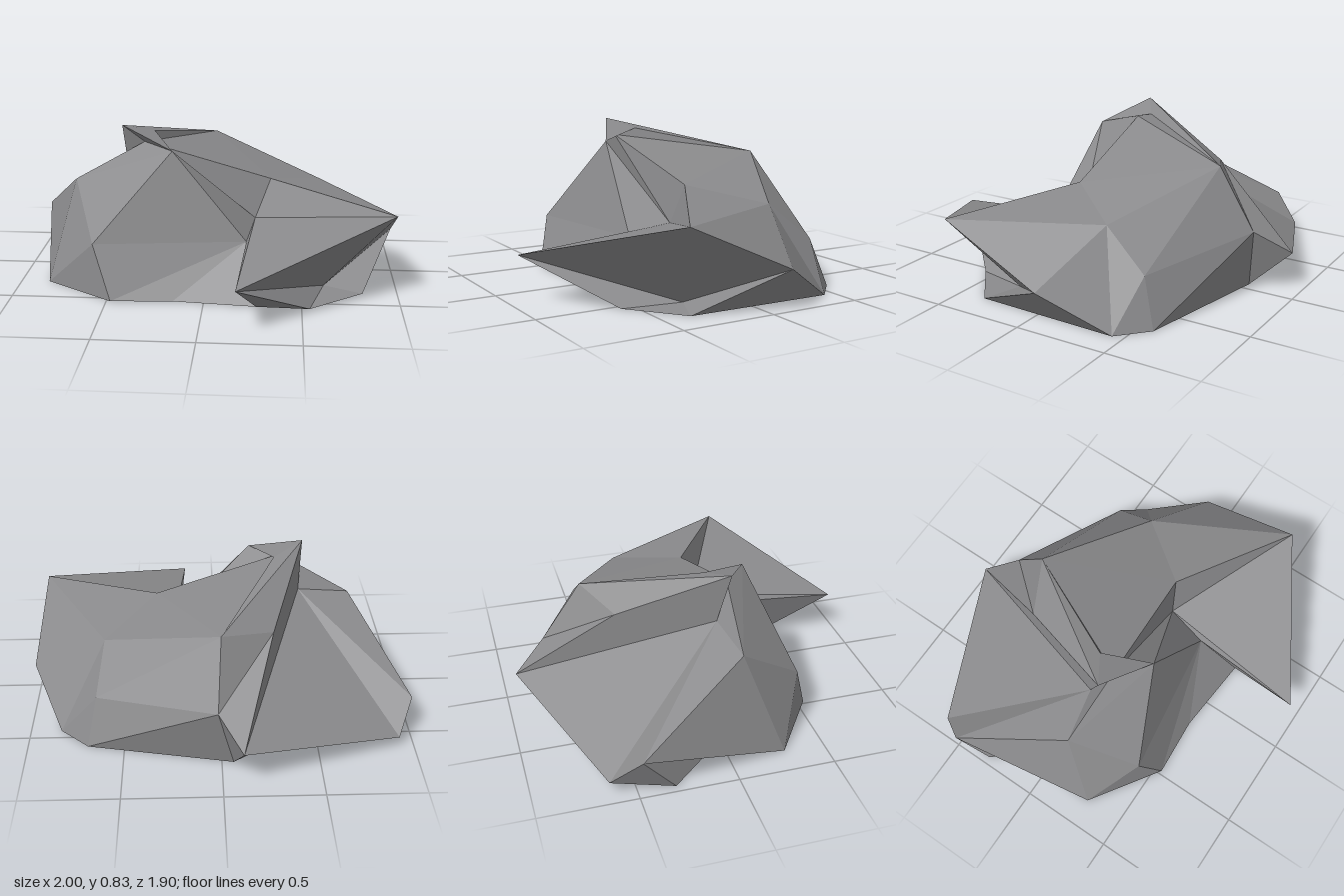
import * as THREE from 'three';

// Corner points of the boulder, by region
const P = {
  // peak and overhanging flap
  tip: [-0.46, 0.83, 0.12], flapBack: [-0.3, 0.78, 0.02], flapFront: [-0.18, 0.73, 0.27],
  neck: [-0.34, 0.745, 0.13], gully: [-0.44, 0.57, 0.05], ledge: [-0.27, 0.59, -0.44],
  // upper slopes
  crest: [0, 0.645, -0.57], saddle: [0.33, 0.54, 0.08], hip: [0.6, 0.45, -0.26],
  shoulder: [-0.72, 0.525, 0.1], notch: [0.25, 0.33, 0.12], inner: [0.21, 0.27, 0.34],
  // widest points
  back: [-0.1, 0.21, -0.95], backStep: [0.02, 0.33, -0.78], heel: [0.64, 0.25, -0.5],
  side: [1, 0.205, -0.11], wing: [0.97, 0.46, 0.45], prow: [0.18, 0.24, 0.95],
  undercut: [0.62, 0.01, 0.27], cheek: [-0.58, 0.275, 0.45],
  flank: [-1, 0.205, -0.48], corner: [-0.92, 0.06, -0.63],
  // footprint
  f1: [0.54, 0, 0.57], f2: [0.27, 0, 0.56], f3: [-0.16, 0, 0.52], f4: [-0.48, 0, 0.54],
  f5: [-0.85, 0, 0.29], f6: [-0.57, 0, 0.12], f7: [-0.96, 0, -0.31], f8: [-0.4, 0, -0.49],
  f9: [-0.06, 0, -0.73], f10: [0.69, 0, -0.58], f11: [0.84, 0, -0.44], f12: [0.82, 0, 0.35],
};

// Builds facets as triangle fans: each entry is a hub and the ring of corners around it
function facets(name, fans, material) {
  const pos = [];
  for (const [hub, ring] of Object.entries(fans)) {
    const r = ring.split(' ');
    for (let i = 0; i + 1 < r.length; i++) pos.push(...P[hub], ...P[r[i]], ...P[r[i + 1]]);
  }
  const geo = new THREE.BufferGeometry();
  geo.setAttribute('position', new THREE.Float32BufferAttribute(pos, 3));
  geo.computeVertexNormals();
  const mesh = new THREE.Mesh(geo, material);
  mesh.name = name;
  return mesh;
}

export function createModel() {
  const group = new THREE.Group();
  group.name = 'boulder';
  const stone = new THREE.MeshStandardMaterial({
    color: 0x8a8a8c, flatShading: true, side: THREE.DoubleSide,
  });
  stone.name = 'grey stone';

  // Top slopes around the hip and the crest
  group.add(facets('upperSlopes', {
    hip: 'wing side f11 heel crest saddle wing',
    crest: 'heel backStep ledge tip flapBack neck saddle',
    saddle: 'neck notch',
  }, stone));

  // Pointed flap and the front face below it
  group.add(facets('peakAndFront', {
    flapFront: 'flapBack tip neck shoulder cheek inner notch neck flapBack',
    inner: 'cheek f4 f3 f2',
    cheek: 'shoulder f5 f4',
  }, stone));

  // Broad sloping slab at the back, with its gully
  group.add(facets('backSlab', {
    gully: 'tip ledge back corner flank shoulder neck tip',
    ledge: 'backStep back',
  }, stone));

  // Jutting wing with its undercut
  group.add(facets('frontWing', {
    wing: 'saddle notch prow undercut side',
    side: 'undercut f12 f11',
    undercut: 'prow f1 f12',
    prow: 'notch inner f2 f1',
  }, stone));

  // Lower walls and overhangs
  group.add(facets('lowerWalls', {
    flank: 'corner f7 f6 f5 shoulder',
    corner: 'back f8 f7',
    back: 'backStep f9 f8',
    backStep: 'heel f10 f9',
    heel: 'f11 f10',
  }, stone));

  // Flat underside
  const outline = [];
  for (let i = 1; i <= 12; i++) outline.push(new THREE.Vector2(P['f' + i][0], P['f' + i][2]));
  const base = new THREE.Mesh(
    new THREE.ShapeGeometry(new THREE.Shape(outline)).rotateX(Math.PI / 2), stone);
  base.name = 'underside';
  group.add(base);

  return group;
}
